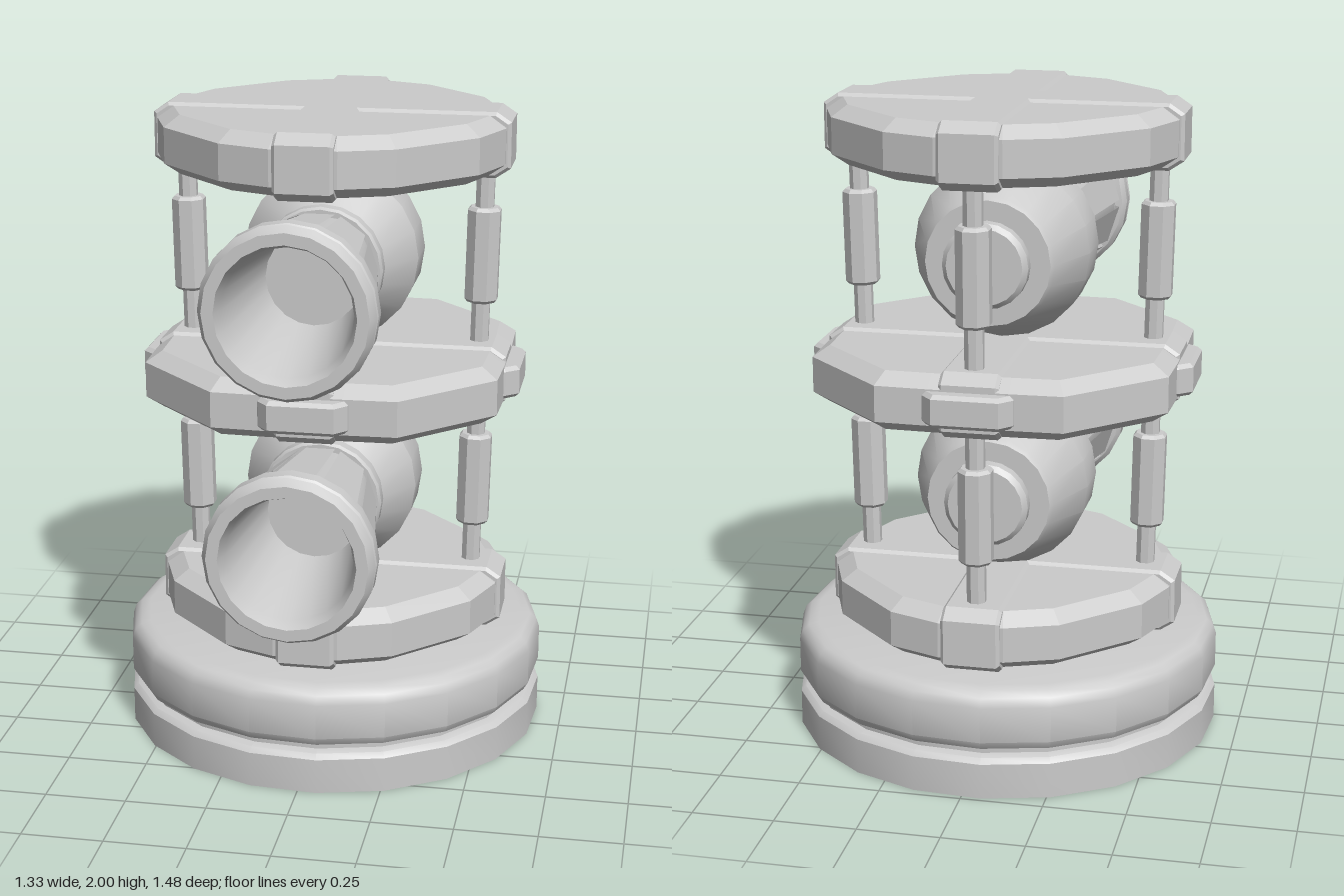
import * as THREE from 'three';
import { toCreasedNormals } from 'three/addons/utils/BufferGeometryUtils.js';

const AXIS_Z = -0.07; // the tower stands a little behind the origin
const grey = new THREE.MeshStandardMaterial({ color: 0xcccccc });
const greyThin = new THREE.MeshStandardMaterial({ color: 0xcccccc, side: THREE.DoubleSide });

function add(parent, name, geometry, material = grey) {
  const mesh = new THREE.Mesh(geometry, material);
  mesh.name = name;
  parent.add(mesh);
  return mesh;
}

function lathe(profile, sides, start = 0, crease = 0.45) {
  const points = profile.map(([r, y]) => new THREE.Vector2(r, y));
  return toCreasedNormals(new THREE.LatheGeometry(points, sides, start), crease);
}

// Extruded outline with a chamfer cut inwards, centred on its depth
function slab(points, depth, chamferSize, chamferDepth) {
  const shape = new THREE.Shape(points.map(([x, y]) => new THREE.Vector2(x, y)));
  const geometry = new THREE.ExtrudeGeometry(shape, {
    depth: depth - 2 * chamferDepth, bevelEnabled: true, bevelSegments: 1,
    bevelSize: chamferSize, bevelOffset: -chamferSize, bevelThickness: chamferDepth,
  });
  return geometry.translate(0, 0, -depth / 2 + chamferDepth);
}

// Repeats one quarter of an outline around the circle
function fourfold(quarter) {
  const out = [];
  for (let i = 0; i < 4; i++) {
    const c = Math.round(Math.cos(i * Math.PI / 2)), s = Math.round(Math.sin(i * Math.PI / 2));
    for (const [x, y] of quarter) out.push([x * c - y * s, x * s + y * c]);
  }
  return out;
}

// Faceted disc wrapped by two crossing straps
function platform(name, quarter, y, hasLugs) {
  const group = new THREE.Group();
  group.name = name;
  group.position.y = y;
  add(group, 'disc', slab(fourfold(quarter), 0.18, 0.05, 0.035).rotateX(-Math.PI / 2));
  const strap = [[-0.55, -0.07], [-0.505, -0.1], [0.505, -0.1], [0.55, -0.07],
    [0.55, 0.07], [0.505, 0.1], [-0.505, 0.1], [-0.55, 0.07]];
  for (let i = 0; i < 2; i++) {
    add(group, 'strap', slab(strap, 0.18, 0.01, 0.01)).rotation.y = i * Math.PI / 2;
  }
  // Tapered lugs on the strap ends
  if (hasLugs) {
    const lug = [[0.5, -0.15], [0.555, -0.135], [0.595, -0.1], [0.595, 0.1], [0.555, 0.135], [0.5, 0.15]];
    for (let i = 0; i < 4; i++) {
      const geometry = slab(lug, 0.1, 0.012, 0.012).rotateX(-Math.PI / 2);
      add(group, 'lug', geometry).rotation.y = i * Math.PI / 2;
    }
  }
  return group;
}

// Thin rod with a thicker sleeve around its middle
function post(radius) {
  const group = new THREE.Group();
  group.name = 'post';
  const profile = [[0.03, -0.3], [0.03, -0.15], [0.045, -0.15], [0.054, -0.14],
    [0.054, 0.14], [0.045, 0.15], [0.03, 0.15], [0.03, 0.3]];
  const mesh = add(group, 'rodAndSleeve', lathe(profile, 8, Math.PI / 8));
  mesh.position.x = radius;
  mesh.rotation.z = -0.02;
  return group;
}

// Lamp pointing forward along z, with a hollow mouth
function lamp(y) {
  const group = new THREE.Group();
  group.name = 'lamp';
  group.position.y = y;
  const housing = [[0, -0.4], [0.115, -0.4], [0.13, -0.385], [0.13, -0.35], [0.19, -0.35], [0.2, -0.335],
    [0.272, -0.15], [0.272, 0], [0.18, 0.13]];
  const collar = [[0.17, 0.125], [0.183, 0.13], [0.19, 0.14], [0.19, 0.18], [0.183, 0.19], [0.165, 0.19]];
  const barrel = [[0.163, 0.18], [0.222, 0.64]];
  const mouth = [[0.22, 0.625], [0.243, 0.63], [0.257, 0.645], [0.257, 0.69], [0.247, 0.7], [0.257, 0.712],
    [0.24, 0.742], [0.205, 0.742], [0.19, 0.7], [0.145, 0.3], [0, 0.3]];
  add(group, 'housing', lathe(housing, 20).rotateX(Math.PI / 2));
  add(group, 'collar', lathe(collar, 20).rotateX(Math.PI / 2));
  add(group, 'barrel', lathe(barrel, 20).rotateX(Math.PI / 2));
  add(group, 'mouthRing', lathe(mouth, 20).rotateX(Math.PI / 2));
  // Flat plates around the barrel, with narrow grooves between them
  const plate = [[0.16, 0.185], [0.176, 0.19], [0.237, 0.61], [0.215, 0.63]]
    .map(([r, h]) => new THREE.Vector2(r, h));
  const width = Math.PI / 6;
  for (let i = 0; i < 10; i++) {
    const geometry = new THREE.LatheGeometry(plate, 1, i * Math.PI / 5 - width / 2, width);
    add(group, 'barrelPlate', toCreasedNormals(geometry, 0.1).rotateX(Math.PI / 2), greyThin);
  }
  return group;
}

export function createModel() {
  const model = new THREE.Group();
  model.name = 'lampTower';
  const tower = new THREE.Group();
  tower.name = 'tower';
  tower.position.z = AXIS_Z;
  model.add(tower);

  // Round base with a groove
  const base = [[0, 0], [0.67, 0], [0.67, 0.11], [0.655, 0.125], [0.63, 0.13], [0.63, 0.15], [0.655, 0.155],
    [0.67, 0.18], [0.67, 0.29], [0.66, 0.318], [0.64, 0.335], [0.61, 0.342], [0, 0.342]];
  add(tower, 'base', lathe(base, 20, 5 * Math.PI / 180, 0.6));

  // Three platforms, the middle one wider
  const narrow = [[0.535, 0.1], [0.475, 0.26], [0.26, 0.475], [0.1, 0.535]];
  const wide = [[0.55, 0.12], [0.545, 0.28], [0.28, 0.545], [0.12, 0.55]];
  tower.add(platform('lowerPlatform', narrow, 0.44, false));
  tower.add(platform('middlePlatform', wide, 1.17, true));
  tower.add(platform('upperPlatform', narrow, 1.9, false));

  // Posts at left, back and right of each storey
  for (const [y, radius] of [[0.815, 0.45], [1.545, 0.463]]) {
    for (let i = 0; i < 3; i++) {
      const p = post(radius);
      p.position.y = y;
      p.rotation.y = i * Math.PI / 2;
      tower.add(p);
    }
  }

  // One lamp per storey
  for (const y of [0.8, 1.54]) model.add(lamp(y));
  return model;
}
